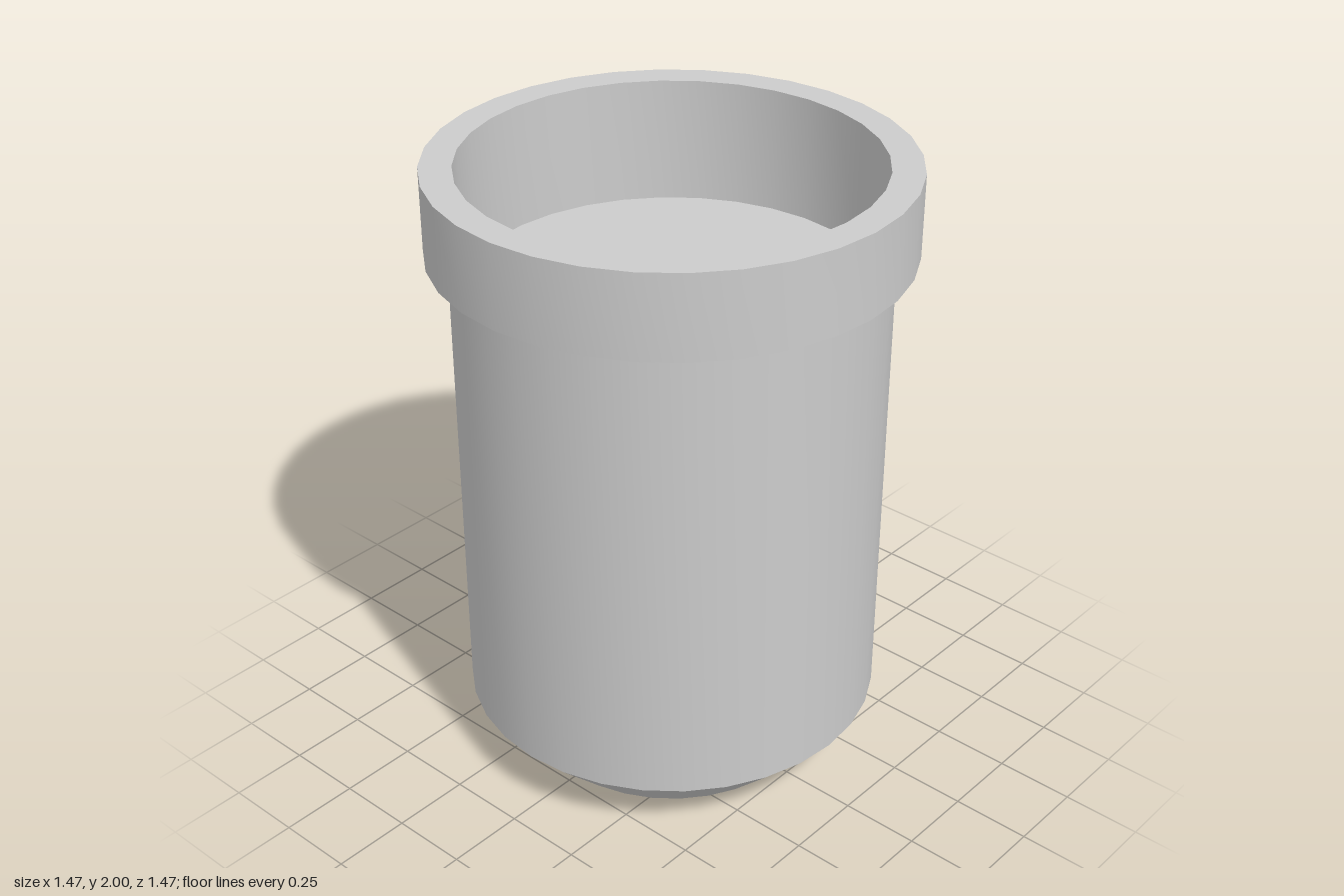
import * as THREE from 'three';
import { toCreasedNormals } from 'three/addons/utils/BufferGeometryUtils.js';

const SIDES = 32;
const R_FOOT = 0.465, R_BODY = 0.664, R_COLLAR = 0.733, R_BORE = 0.635;
const Y_CHAMFER = 0.2, Y_COLLAR = 1.735, Y_TOP = 2, Y_FLOOR = 1.6;

export function createModel() {
  const group = new THREE.Group();
  const material = new THREE.MeshStandardMaterial({ color: 0xcccccc });

  const add = (name, geometry) => {
    const mesh = new THREE.Mesh(geometry, material);
    mesh.name = name;
    group.add(mesh);
    return mesh;
  };

  // Turned surface: round sides stay smooth, profile corners stay sharp
  const turned = (name, profile) => {
    const points = profile.map(([r, y]) => new THREE.Vector2(r, y));
    return add(name, toCreasedNormals(new THREE.LatheGeometry(points, SIDES), 0.5));
  };

  // Flat disc facing up (1) or down (-1)
  const disc = (name, radius, y, facing) => {
    const mesh = add(name, new THREE.CircleGeometry(radius, SIDES));
    mesh.rotation.x = -facing * Math.PI / 2;
    mesh.position.y = y;
  };

  // Chamfered foot and straight barrel
  disc('base', R_FOOT, 0, -1);
  turned('body', [[R_FOOT, 0], [R_BODY, Y_CHAMFER], [R_BODY, Y_COLLAR]]);

  // Collar: underside step, outer wall and flat rim
  turned('collar', [[R_BODY, Y_COLLAR], [R_COLLAR, Y_COLLAR], [R_COLLAR, Y_TOP], [R_BORE, Y_TOP]]);

  // Shallow recess in the top
  turned('recessWall', [[R_BORE, Y_TOP], [R_BORE, Y_FLOOR]]);
  disc('recessFloor', R_BORE, Y_FLOOR, 1);

  return group;
}
